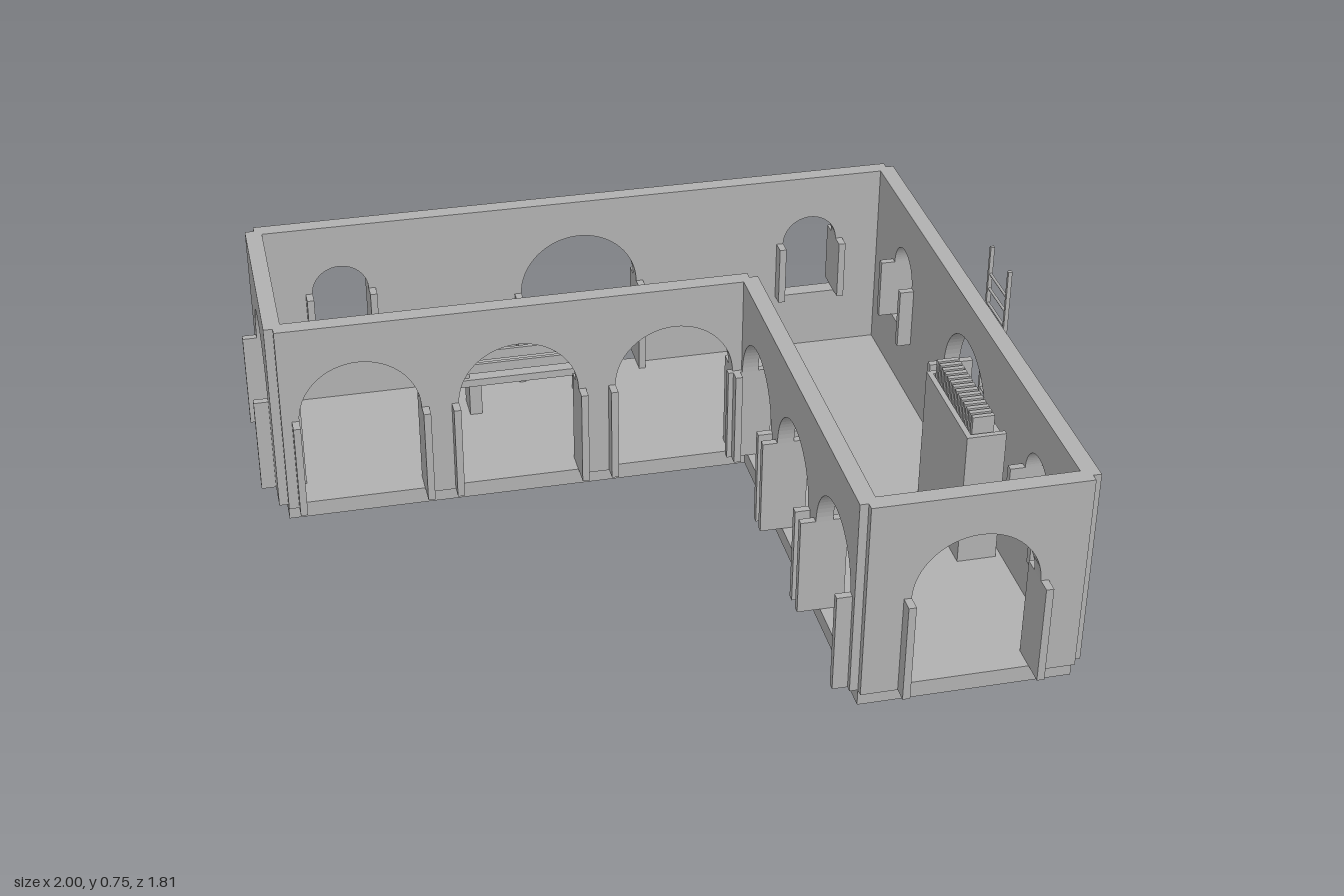
import * as THREE from 'three';

const BASE = 0.047, TOP = 0.61, THICK = 0.046;
const DOOR_SPRING = 0.326, SILL = 0.222, WINDOW_SPRING = 0.4, WINDOW_R = 0.081;

export function createModel() {
  const model = new THREE.Group();
  model.name = 'courtyardHouse';
  const stone = new THREE.MeshStandardMaterial({ color: 0xb0b0b0 });
  stone.name = 'grey stone';

  // Box given by its lower and upper limits on each axis
  function box(parent, name, x0, x1, y0, y1, z0, z1) {
    const m = new THREE.Mesh(new THREE.BoxGeometry(x1 - x0, y1 - y0, z1 - z0), stone);
    m.position.set((x0 + x1) / 2, (y0 + y1) / 2, (z0 + z1) / 2);
    m.name = name;
    parent.add(m);
    return m;
  }

  // L-shaped floor slab
  const plan = new THREE.Shape([
    [-0.935, 0.285], [0.37, 0.285], [0.37, -0.84], [0.935, -0.84], [0.935, 0.845], [-0.935, 0.845],
  ].map(([x, y]) => new THREE.Vector2(x, y)));
  const floor = new THREE.Mesh(
    new THREE.ExtrudeGeometry(plan, { depth: BASE, bevelEnabled: false }), stone);
  floor.rotation.x = -Math.PI / 2;
  floor.name = 'floor';
  model.add(floor);

  // Wall running from a to b, with arched doors [centre, radius] and arched windows
  function wall(name, a, b, doors, windows) {
    const g = new THREE.Group();
    g.name = name;
    const s = new THREE.Shape();
    s.moveTo(a, BASE);
    for (const [c, r] of doors) {
      s.lineTo(c - r, BASE);
      s.lineTo(c - r, DOOR_SPRING);
      s.absarc(c, DOOR_SPRING, r, Math.PI, 0, true);
      s.lineTo(c + r, BASE);
    }
    s.lineTo(b, BASE);
    s.lineTo(b, TOP);
    s.lineTo(a, TOP);
    s.closePath();
    for (const c of windows) {
      const h = new THREE.Path();
      h.moveTo(c - WINDOW_R, SILL);
      h.lineTo(c - WINDOW_R, WINDOW_SPRING);
      h.absarc(c, WINDOW_SPRING, WINDOW_R, Math.PI, 0, true);
      h.lineTo(c + WINDOW_R, SILL);
      h.closePath();
      s.holes.push(h);
    }
    const panel = new THREE.Mesh(
      new THREE.ExtrudeGeometry(s, { depth: THICK, bevelEnabled: false, curveSegments: 16 }), stone);
    panel.name = name + 'Panel';
    g.add(panel);
    // Jambs stand out on both sides of the wall
    const jambs = (c, r, y0, y1, kind) => {
      for (const side of [-1, 1]) {
        const m = c + side * (r + 0.01);
        box(g, kind, m - 0.01, m + 0.01, y0, y1, -0.04, THICK + 0.04);
      }
    };
    doors.forEach(([c, r]) => jambs(c, r, BASE, DOOR_SPRING + 0.002, 'doorJamb'));
    windows.forEach((c) => jambs(c, WINDOW_R, SILL, WINDOW_SPRING, 'windowJamb'));
    model.add(g);
    return g;
  }

  // Walls along x
  wall('backWall', -0.935, 0.935, [[-0.003, 0.173]], [-0.704, 0.7]).position.z = -0.868;
  wall('wingFrontWall', -0.935, 0.37,
    [[-0.72, 0.167], [-0.283, 0.167], [0.155, 0.167]], []).position.z = -0.308;
  wall('frontWall', 0.37, 0.935, [[0.653, 0.166]], []).position.z = 0.815;

  // Walls along z
  const turn = (w, x) => { w.rotation.y = -Math.PI / 2; w.position.x = x; };
  turn(wall('leftSideWall', -0.845, 0.84, [[0, 0.173]], [-0.562, 0.558]), 0.957);
  turn(wall('rightSideWall', -0.845, -0.285, [[-0.565, 0.166]], []), -0.914);
  turn(wall('courtyardWall', -0.285, 0.84,
    [[-0.099, 0.153], [0.273, 0.151], [0.65, 0.153]], []), 0.394);

  // Bench with a slatted back
  const bench = new THREE.Group();
  bench.name = 'bench';
  box(bench, 'benchSeat', -0.41, 0.03, 0.157, 0.18, -0.74, -0.61);
  for (const y of [0.2, 0.242]) box(bench, 'backSlat', -0.41, 0.03, y, y + 0.03, -0.622, -0.611);
  for (const x of [-0.38, 0]) box(bench, 'backPost', x - 0.012, x + 0.012, 0.17, 0.277, -0.634, -0.622);
  for (const x of [-0.35, -0.03]) box(bench, 'benchLeg', x - 0.018, x + 0.018, BASE, 0.157, -0.72, -0.635);
  model.add(bench);

  // Bookcase, open towards the side wall
  const bookcase = new THREE.Group();
  bookcase.name = 'bookcase';
  box(bookcase, 'bookcaseBack', 0.787, 0.802, BASE, 0.44, 0.03, 0.372);
  for (const z of [0.03, 0.357]) box(bookcase, 'bookcaseSide', 0.802, 0.895, BASE, 0.44, z, z + 0.015);
  const shelves = [0.05, 0.17, 0.29, 0.41];
  shelves.forEach((y, row) => {
    box(bookcase, 'shelf', 0.802, 0.892, y, y + 0.013, 0.045, 0.357);
    for (let i = 0; i < 14; i++) {
      const z = 0.052 + i * 0.022;
      const h = 0.062 + 0.009 * ((i * 5 + row * 3) % 4);
      box(bookcase, 'book', 0.806, 0.866, y + 0.013, y + 0.013 + (row === 3 ? 0.065 : h), z, z + 0.014);
    }
  });
  model.add(bookcase);

  // Ladder outside the side wall
  const ladder = new THREE.Group();
  ladder.name = 'ladder';
  for (const z of [-0.068, 0.072]) {
    box(ladder, 'ladderRail', 0.979, 0.99, 0.008, 0.748, z - 0.005, z + 0.005);
    box(ladder, 'wallBracket', 0.955, 0.98, 0.559, 0.567, z - 0.004, z + 0.004);
  }
  for (let i = 0; i < 15; i++) {
    const rung = new THREE.Mesh(new THREE.CylinderGeometry(0.004, 0.004, 0.14, 8), stone);
    rung.rotation.x = Math.PI / 2;
    rung.position.set(0.985, 0.036 + i * 0.045, 0.002);
    rung.name = 'rung';
    ladder.add(rung);
  }
  model.add(ladder);

  return model;
}
